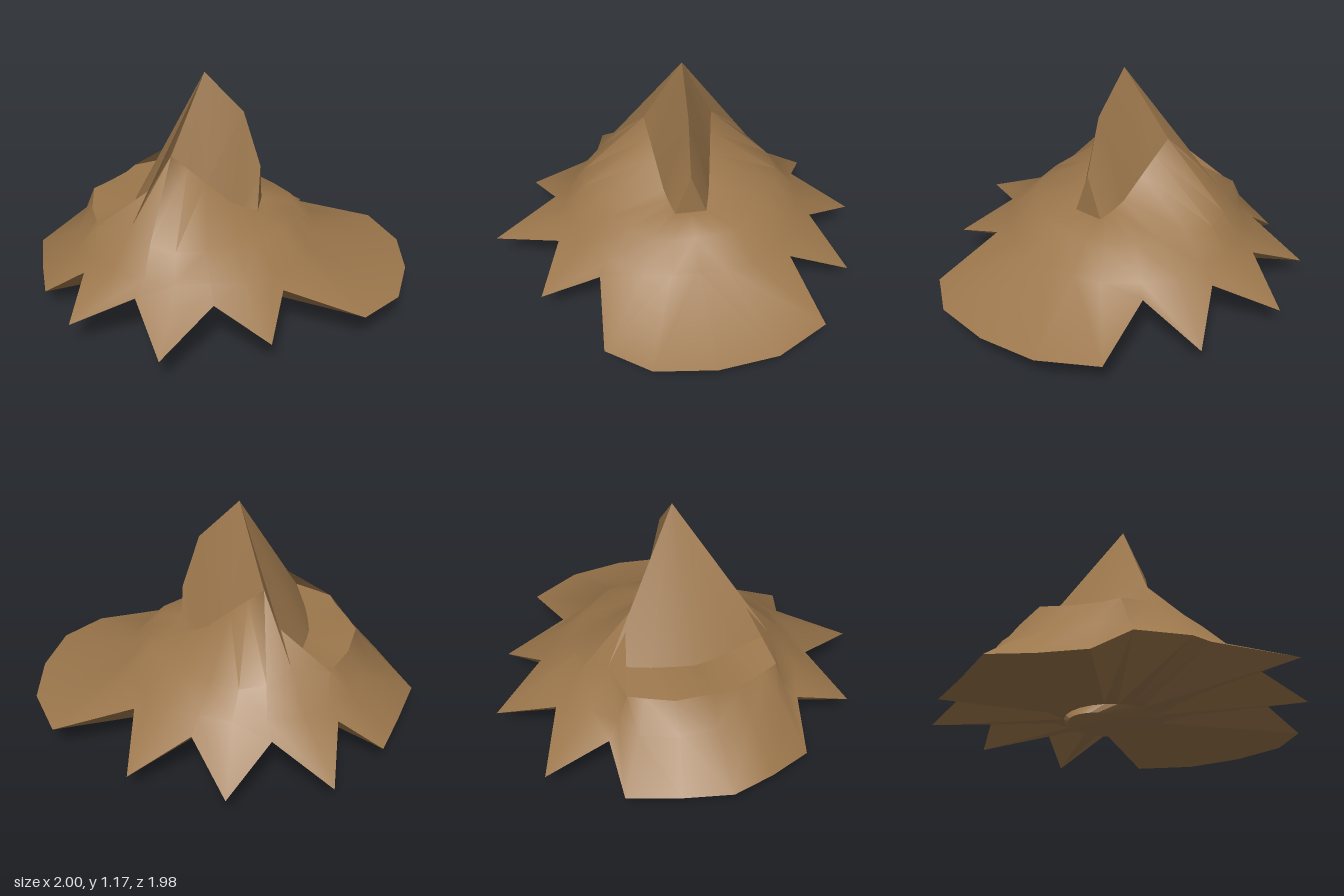
import * as THREE from 'three';
import { toCreasedNormals } from 'three/addons/utils/BufferGeometryUtils.js';

const MID = -0.03; // mirror plane in z
const SPOKES = 12; // spokes per half

// Closed ring from half a ring of [x, y, distance from mirror plane, back distance, back y]
function ring(half) {
  const front = half.map(([x, y, d]) => new THREE.Vector3(x, y, MID + d));
  const back = half.slice(1, SPOKES).reverse()
    .map(([x, y, d, bd = d, by = y]) => new THREE.Vector3(x, by, MID - bd));
  return [...front, ...back];
}

const halfOf = (f) => Array.from({ length: SPOKES + 1 }, (_, i) => f(i));

// Skin between successive rings, splitting quads symmetrically on both halves
function skin(rings, crease) {
  const pos = [];
  const tri = (a, b, c) => {
    const area = b.clone().sub(a).cross(c.clone().sub(a)).length();
    if (area > 1e-6) pos.push(...a, ...b, ...c);
  };
  for (let r = 0; r + 1 < rings.length; r++) {
    const o = rings[r], n = rings[r + 1], count = o.length;
    for (let i = 0; i < count; i++) {
      const j = (i + 1) % count;
      if (i < SPOKES) {
        tri(o[j], o[i], n[i]);
        tri(o[j], n[i], n[j]);
      } else {
        tri(o[j], o[i], n[j]);
        tri(o[i], n[i], n[j]);
      }
    }
  }
  const g = new THREE.BufferGeometry();
  g.setAttribute('position', new THREE.Float32BufferAttribute(pos, 3));
  return toCreasedNormals(g, crease);
}

export function createModel() {
  const group = new THREE.Group();
  const tan = new THREE.MeshStandardMaterial({ color: 0x9c774c, side: THREE.DoubleSide });
  tan.name = 'tan';
  const add = (name, geometry) => {
    const mesh = new THREE.Mesh(geometry, tan);
    mesh.name = name;
    group.add(mesh);
  };

  // Jagged rim: broad flap, three spikes a side, short flap
  const rim = ring([
    [1, 0.16, 0], [0.96, 0.16, 0.3], [0.8, 0.16, 0.51, 0.57],
    [0.4, 0.26, 0.49], [0.38, 0.15, 0.79, 0.82, 0.11], [0.09, 0.26, 0.68],
    [-0.1, 0.16, 1.015, 0.96, 0.13], [-0.29, 0.26, 0.68], [-0.59, 0.15, 0.79, 0.81, 0.11],
    [-0.6, 0.26, 0.49], [-0.83, 0.1, 0.45, 0.48], [-0.92, 0.11, 0.23], [-1, 0.14, 0],
  ]);
  // Foot of the dome
  const shoulder = ring([
    [0.5, 0.31, 0], [0.5, 0.31, 0.14], [0.47, 0.31, 0.28], [0.34, 0.31, 0.44],
    [0.22, 0.32, 0.56], [0.06, 0.33, 0.6], [-0.1, 0.33, 0.64], [-0.26, 0.33, 0.6],
    [-0.43, 0.32, 0.54], [-0.55, 0.33, 0.43], [-0.67, 0.32, 0.36], [-0.74, 0.32, 0.18],
    [-0.75, 0.32, 0],
  ]);
  // Top of the dome and outer edge of the hollow shelf
  const dome = ring([
    [0.38, 0.44, 0], [0.38, 0.44, 0.12], [0.36, 0.44, 0.22], [0.26, 0.44, 0.33],
    [0.16, 0.44, 0.42], [0.02, 0.44, 0.49], [-0.12, 0.44, 0.53], [-0.25, 0.46, 0.51],
    [-0.36, 0.51, 0.42], [-0.55, 0.47, 0.38], [-0.58, 0.46, 0.3], [-0.64, 0.46, 0.17],
    [-0.68, 0.49, 0],
  ]);
  // Foot of the crest and inner edge of the shelf
  const crestFoot = ring([
    [0.22, 0.47, 0], [0.22, 0.47, 0.08], [0.19, 0.48, 0.09], [0.14, 0.5, 0.105],
    [0.08, 0.53, 0.12], [-0.04, 0.64, 0.145], [-0.13, 0.72, 0.163], [-0.21, 0.79, 0.18],
    [-0.29, 0.66, 0.31], [-0.36, 0.51, 0.42], [-0.41, 0.49, 0.22], [-0.43, 0.48, 0.1],
    [-0.44, 0.47, 0],
  ]);
  // Ridge line of the crest, running up to the peak
  const ridge = ring(halfOf((i) =>
    i < 3 ? [0.22, 0.69, 0] : i < 5 ? [0.13, 0.98, 0] : [-0.07, 1.18, 0]));

  add('mantle', skin([rim, shoulder, dome, crestFoot], 0.75));
  add('crest', skin([crestFoot, ridge], 0.5));

  // Shallow underside gathered into a small knot
  const circle = (x, y, r) => ring(halfOf((i) => {
    const a = (i / SPOKES) * Math.PI;
    return [x + r * Math.cos(a), y, r * Math.sin(a)];
  }));
  const outer = circle(-0.14, 0.08, 0.24);
  add('underside', skin([outer, rim], 0.4));
  add('knot', skin([circle(-0.33, 0.005, 0), circle(-0.27, 0.04, 0.13), outer], 0.4));

  // Stand the model on the ground
  const box = new THREE.Box3().setFromObject(group);
  group.children.forEach((m) => m.geometry.translate(0, -box.min.y, 0));
  return group;
}
